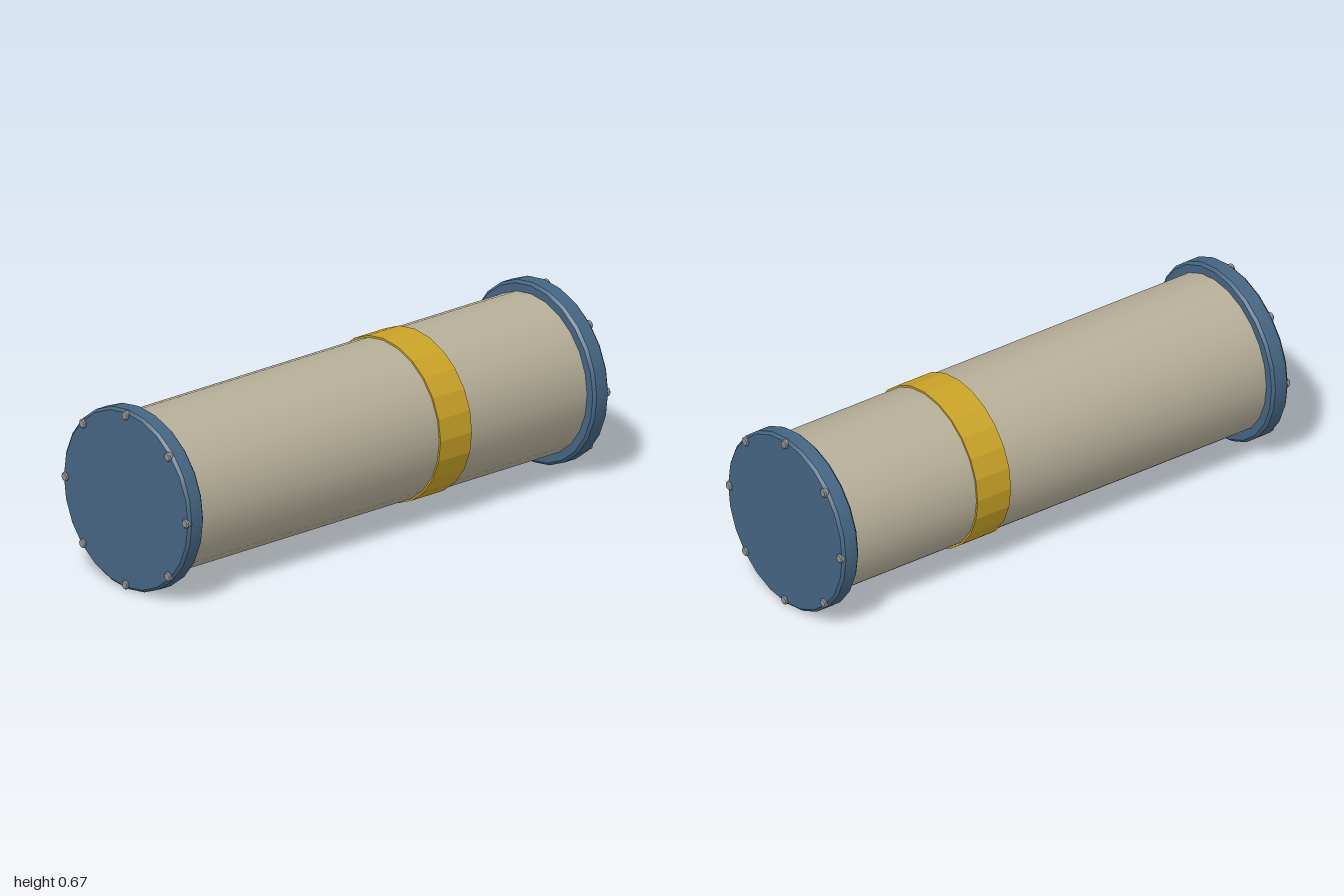
import * as THREE from 'three';
import { toCreasedNormals } from 'three/addons/utils/BufferGeometryUtils.js';

const AXIS_Y = 0.338;
const SIDES = 24;

function material(name, color) {
  const m = new THREE.MeshStandardMaterial({ color });
  m.name = name;
  return m;
}

// Solid of revolution around the x axis from [radius, x] pairs, x ascending
function turned(profile, sides, crease) {
  const geo = new THREE.LatheGeometry(profile.map(([r, x]) => new THREE.Vector2(r, x)), sides);
  geo.rotateZ(-Math.PI / 2);
  return toCreasedNormals(geo, crease);
}

export function createModel() {
  const beige = material('beige paint', 0xb5ae98);
  const blue = material('blue paint', 0x456582);
  const yellow = material('yellow paint', 0xc9a227);
  const steel = material('bolt steel', 0x8e9194);

  const model = new THREE.Group();
  model.name = 'pipeSection';
  const assembly = new THREE.Group();
  assembly.name = 'pipe';
  assembly.position.y = AXIS_Y;
  model.add(assembly);

  const add = (parent, name, geo, mat) => {
    const mesh = new THREE.Mesh(geo, mat);
    mesh.name = name;
    parent.add(mesh);
    return mesh;
  };

  // Smooth pipe wall, its ends buried in the flanges
  add(assembly, 'pipeBody',
    turned([[0, -0.97], [0.297, -0.97], [0.297, 0.97], [0, 0.97]], SIDES, 0.5), beige);

  // Faceted marking band
  add(assembly, 'markingBand',
    turned([[0.29, 0.222], [0.304, 0.222], [0.304, 0.37], [0.29, 0.37]], SIDES, 0.05), yellow);

  // Chamfered end flange and domed bolt heads, shared by both ends
  const flangeGeo = turned([
    [0, 0.92], [0.327, 0.92], [0.337, 0.93],
    [0.337, 0.982], [0.327, 0.992], [0, 0.992],
  ], SIDES, 0.5);
  const boltGeo = turned([
    [0, 0.983], [0.017, 0.983], [0.017, 0.996], [0.013, 1], [0, 1],
  ], 12, 0.6);

  for (const [side, turn] of [['left', 0], ['right', Math.PI]]) {
    const end = new THREE.Group();
    end.name = side + 'End';
    end.rotation.y = turn;
    assembly.add(end);
    add(end, side + 'Flange', flangeGeo, blue);
    for (let i = 0; i < 8; i++) {
      const a = (i / 8) * Math.PI * 2;
      const bolt = add(end, side + 'Bolt' + (i + 1), boltGeo, steel);
      bolt.position.set(0, Math.cos(a) * 0.318, Math.sin(a) * 0.318);
    }
  }
  return model;
}
